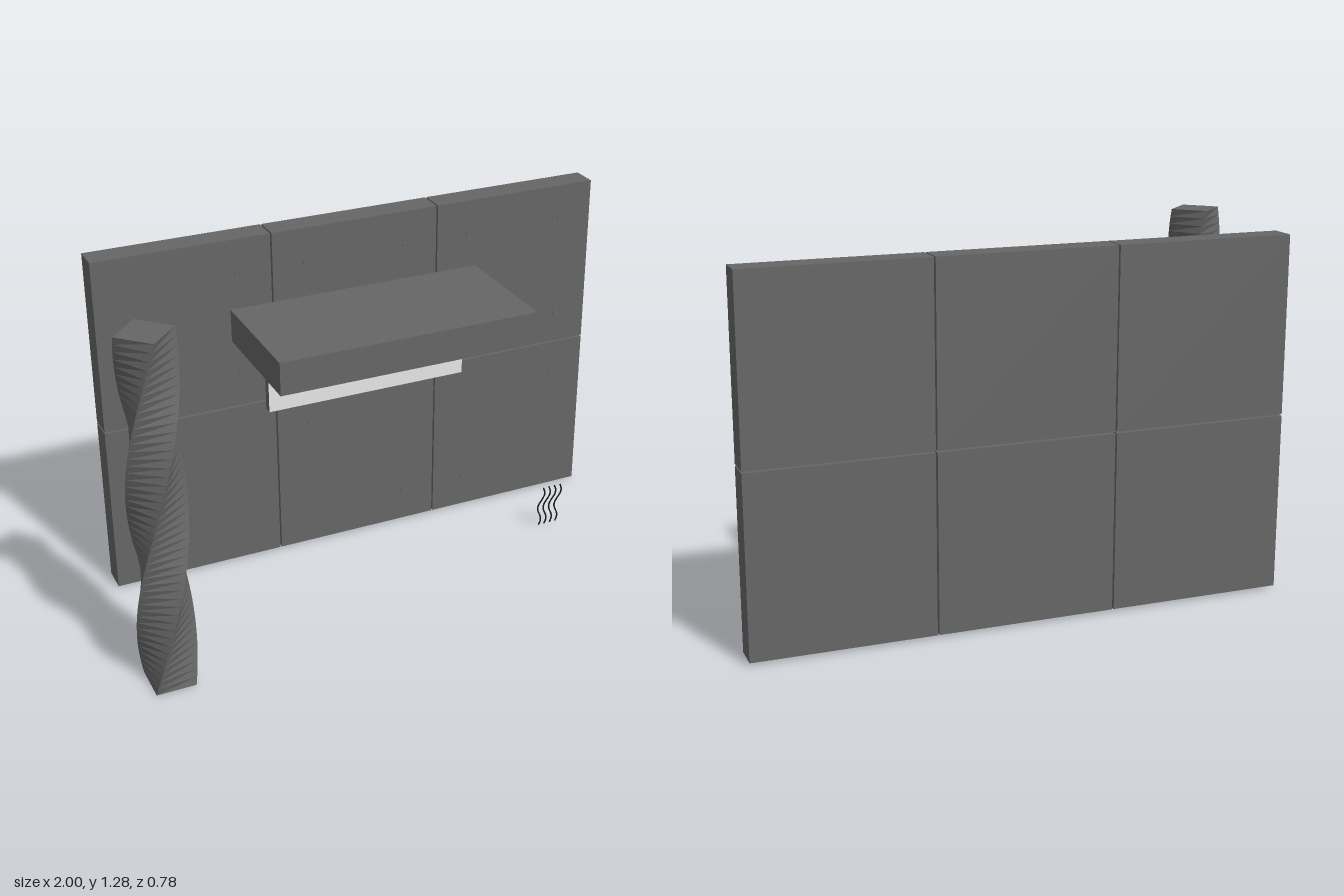
import * as THREE from 'three';

export function createModel() {
  const model = new THREE.Group();
  const material = (name, color, opts = {}) => {
    const m = new THREE.MeshStandardMaterial({ color, ...opts });
    m.name = name;
    return m;
  };
  const concrete = material('concreteGrey', 0x666666, { flatShading: true });
  const pale = material('paleGrey', 0xe6e6e6);
  const dark = material('darkStrand', 0x222222);

  const add = (name, geometry, mat, x, y, z, parent = model) => {
    const mesh = new THREE.Mesh(geometry, mat);
    mesh.name = name;
    mesh.position.set(x, y, z);
    parent.add(mesh);
    return mesh;
  };
  // box given by its limits on each axis
  const box = (name, mat, [x0, x1], [y0, y1], [z0, z1], parent) =>
    add(name, new THREE.BoxGeometry(x1 - x0, y1 - y0, z1 - z0), mat,
      (x0 + x1) / 2, (y0 + y1) / 2, (z0 + z1) / 2, parent);

  // wall of six slabs with narrow open joints and four tie marks on each
  const wall = new THREE.Group();
  wall.name = 'panelWall';
  model.add(wall);
  const w = 0.635, h = 0.633, gap = 0.003, front = -0.295;
  const tie = new THREE.CylinderGeometry(0.01, 0.01, 0.008, 10);
  tie.rotateX(Math.PI / 2);
  for (let col = 0; col < 3; col++) {
    for (let row = 0; row < 2; row++) {
      const x = -0.905 + col * w, y = 0.01 + row * h;
      box('wallPanel', concrete,
        [x + (col ? gap : 0), x + w - (col < 2 ? gap : 0)],
        [y + (row ? gap : 0), y + h - (row ? 0 : gap)], [-0.39, front], wall);
      for (const u of [0.2, 0.8]) {
        for (const v of [0.2, 0.8]) {
          add('tieMark', tie, concrete, x + u * w, y + v * h, front, wall);
        }
      }
    }
  }

  // thick shelf and the upright board hanging under it, pale on its front
  box('shelf', concrete, [-0.427, 0.525], [0.9, 1.02], [front, 0.165]);
  box('underBoard', [concrete, concrete, concrete, concrete, pale, concrete],
    [-0.333, 0.43], [0.645, 0.9], [-0.23, -0.2]);

  // square column twisted by two and a half quarter turns
  const height = 1.28, side = 0.138;
  let column = new THREE.BoxGeometry(side, height, side, 1, 45, 1);
  column.translate(0, height / 2, 0);
  const p = column.attributes.position;
  const v = new THREE.Vector3();
  const up = new THREE.Vector3(0, 1, 0);
  for (let i = 0; i < p.count; i++) {
    v.fromBufferAttribute(p, i);
    v.applyAxisAngle(up, (v.y / height) * Math.PI * 1.25);
    p.setXYZ(i, v.x, v.y, v.z);
  }
  column = column.toNonIndexed();
  column.computeVertexNormals();
  add('twistedColumn', column, concrete, -0.902, 0, 0.292);

  // thin wavy strands leaning forward
  const points = [];
  for (let i = 0; i <= 12; i++) {
    const t = i / 12;
    points.push(new THREE.Vector3(
      0.01 * Math.sin(t * Math.PI * 3 + 0.4),
      0.012 + 0.186 * t,
      -0.024 + 0.016 * t + 0.016 * t * t));
  }
  const strand = new THREE.TubeGeometry(new THREE.CatmullRomCurve3(points), 36, 0.003, 6);
  for (let i = 0; i < 4; i++) add('wavyStrand', strand, dark, 0.687 + i * 0.024, 0, 0);

  return model;
}
